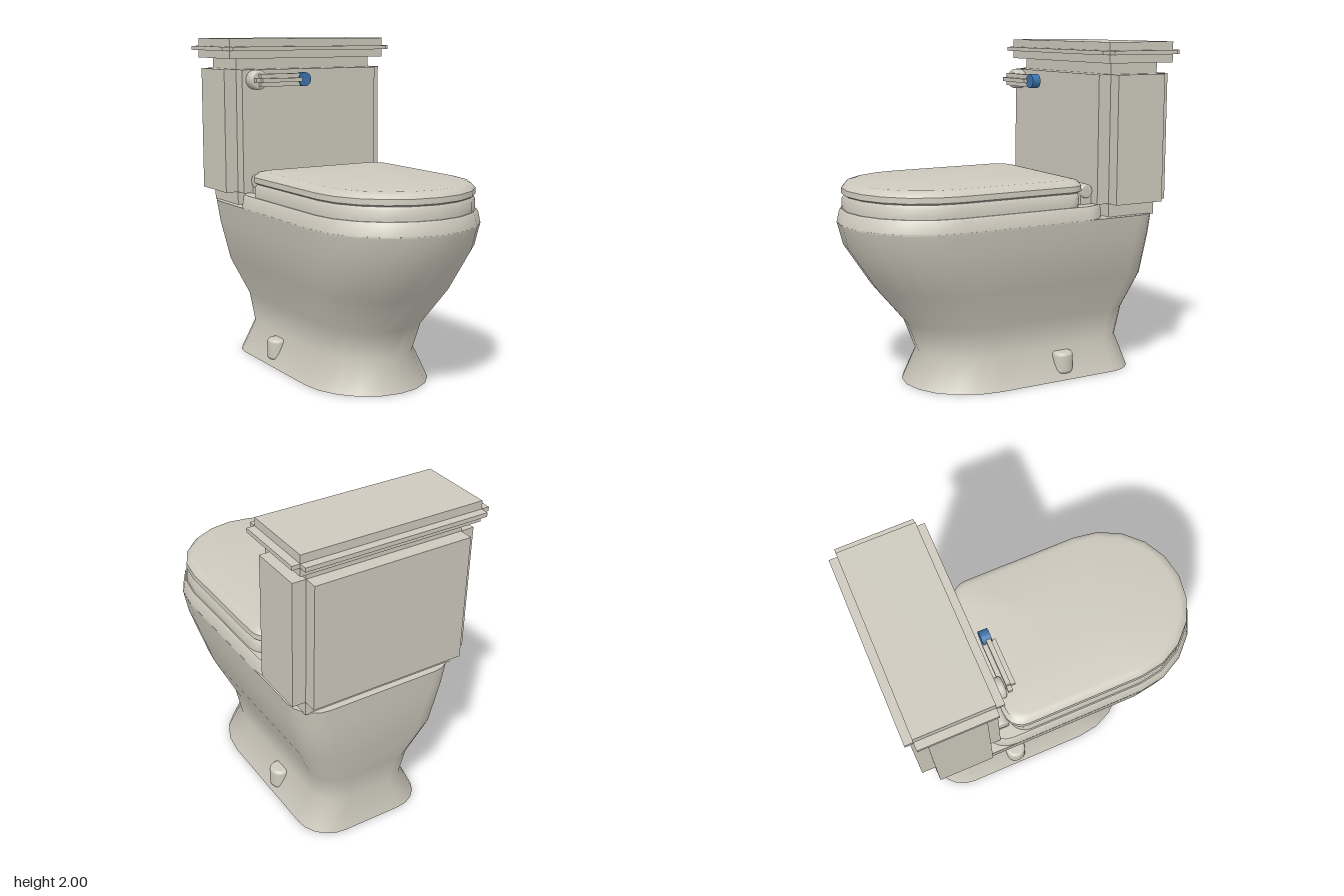
import * as THREE from 'three';
import { toCreasedNormals } from 'three/addons/utils/BufferGeometryUtils.js';

const ceramic = new THREE.MeshStandardMaterial({ name: 'warm grey ceramic', color: 0xcdc9bd });
const blue = new THREE.MeshStandardMaterial({ name: 'blue knob', color: 0x3d74ad });

// Plan outline: half ellipse at the front, straight sides, rounded back corners
function outline(half, front, back, frontLength, backRadius) {
  const points = [];
  for (let i = 0; i <= 10; i++) {
    const a = (i / 10) * Math.PI;
    points.push([half * Math.cos(a), front - frontLength + frontLength * Math.sin(a)]);
  }
  for (const side of [-1, 1]) {
    for (let i = 0; i <= 5; i++) {
      const a = Math.PI + (side > 0 ? Math.PI / 2 : 0) + (i / 5) * Math.PI / 2;
      points.push([
        side * (half - backRadius) + backRadius * Math.cos(a),
        back + backRadius + backRadius * Math.sin(a),
      ]);
    }
  }
  return points;
}

// Capped loft through sections [y, half width, front z, back z, front length, back radius]
function loft(name, sections, crease) {
  const positions = [], index = [];
  const rings = sections.map(([y, ...plan]) => outline(...plan).map(([x, z]) => [x, y, z]));
  const n = rings[0].length;
  rings.forEach((ring) => ring.forEach((p) => positions.push(...p)));
  for (let r = 0; r < rings.length - 1; r++) {
    for (let j = 0; j < n; j++) {
      const k = (j + 1) % n;
      const a = r * n + j, b = r * n + k;
      index.push(a, a + n, b, b, a + n, b + n);
    }
  }
  const bottom = rings.length * n, top = bottom + 1, last = bottom - n;
  for (const s of [sections[0], sections[sections.length - 1]]) {
    positions.push(0, s[0], (s[2] + s[3]) / 2);
  }
  for (let j = 0; j < n; j++) {
    const k = (j + 1) % n;
    index.push(bottom, j, k, top, last + k, last + j);
  }
  const geometry = new THREE.BufferGeometry();
  geometry.setAttribute('position', new THREE.Float32BufferAttribute(positions, 3));
  geometry.setIndex(index);
  const mesh = new THREE.Mesh(toCreasedNormals(geometry, crease), ceramic);
  mesh.name = name;
  return mesh;
}

// Box with notched edges: three crossing boxes, each full length along one axis
function notchedBox(name, min, max, inset) {
  const group = new THREE.Group();
  group.name = name;
  for (let axis = 0; axis < 3; axis++) {
    const lo = min.map((v, i) => (i === axis ? v : v + inset[i]));
    const hi = max.map((v, i) => (i === axis ? v : v - inset[i]));
    const block = new THREE.Mesh(
      new THREE.BoxGeometry(hi[0] - lo[0], hi[1] - lo[1], hi[2] - lo[2]), ceramic);
    block.position.set(...lo.map((v, i) => (v + hi[i]) / 2));
    block.name = name + 'Block';
    group.add(block);
  }
  return group;
}

// Solid of revolution with softened rims, centred on its own axis
function softCylinder(name, radius, length, soft, material = ceramic) {
  const h = length / 2;
  const profile = [new THREE.Vector2(0, -h)];
  for (const [start, cy] of [[-Math.PI / 2, -h + soft], [0, h - soft]]) {
    for (let i = 0; i <= 4; i++) {
      const a = start + (i / 4) * Math.PI / 2;
      profile.push(new THREE.Vector2(radius - soft + soft * Math.cos(a), cy + soft * Math.sin(a)));
    }
  }
  profile.push(new THREE.Vector2(0, h));
  const mesh = new THREE.Mesh(new THREE.LatheGeometry(profile, 24), material);
  mesh.name = name;
  return mesh;
}

export function createModel() {
  const model = new THREE.Group();
  model.name = 'toilet';

  // Pedestal and bowl
  model.add(loft('bowl', [
    [0, 0.39, 0.57, -0.83, 0.43, 0.2],
    [0.19, 0.3, 0.49, -0.778, 0.36, 0.16],
    [0.37, 0.325, 0.56, -0.805, 0.38, 0.16],
    [0.6, 0.43, 0.75, -0.868, 0.44, 0.17],
    [0.85, 0.492, 0.915, -0.878, 0.49, 0.17],
    [0.985, 0.512, 0.95, -0.885, 0.5, 0.17],
  ], 1.0));
  model.add(loft('rim', [
    [0.98, 0.512, 0.95, -0.52, 0.5, 0.16],
    [1.05, 0.5, 0.935, -0.52, 0.49, 0.16],
    [1.062, 0.49, 0.925, -0.51, 0.48, 0.15],
  ], 0.6));

  // Seat ring and closed lid
  model.add(loft('seat', [
    [1.06, 0.483, 0.918, -0.35, 0.475, 0.1],
    [1.12, 0.483, 0.918, -0.355, 0.475, 0.1],
    [1.142, 0.468, 0.905, -0.345, 0.46, 0.1],
  ], 0.9));
  model.add(loft('lid', [
    [1.14, 0.468, 0.905, -0.36, 0.46, 0.1],
    [1.15, 0.482, 0.922, -0.375, 0.475, 0.11],
    [1.182, 0.48, 0.92, -0.375, 0.475, 0.11],
    [1.208, 0.457, 0.895, -0.355, 0.45, 0.1],
    [1.215, 0.43, 0.865, -0.325, 0.42, 0.09],
    [1.222, 0.11, 0.4, 0.05, 0.11, 0.03],
  ], 0.6));

  // Hinges and floor bolt caps on both sides
  for (const side of [-1, 1]) {
    const hinge = softCylinder('hinge', 0.042, 0.16, 0.012);
    hinge.rotation.z = Math.PI / 2;
    hinge.position.set(side * 0.345, 1.14, -0.4);
    const hingeFoot = new THREE.Mesh(new THREE.BoxGeometry(0.14, 0.08, 0.075), ceramic);
    hingeFoot.name = 'hingeFoot';
    hingeFoot.position.set(side * 0.345, 1.09, -0.4);
    const boltCap = softCylinder('boltCap', 0.065, 0.13, 0.022);
    boltCap.position.set(side * 0.325, 0.1, -0.305);
    model.add(hinge, hingeFoot, boltCap);
  }

  // Cistern and its cover
  model.add(notchedBox('tank', [-0.555, 0.98, -0.925], [0.555, 1.9, -0.44], [0.08, 0.085, 0.08]));
  model.add(notchedBox('tankCover', [-0.592, 1.88, -0.953], [0.592, 2, -0.415], [0.047, 0.048, 0.047]));

  // Flush handle
  const handle = new THREE.Group();
  handle.name = 'flushHandle';
  const mount = softCylinder('handleMount', 0.06, 0.08, 0.018);
  mount.rotation.x = Math.PI / 2;
  mount.position.set(-0.395, 1.755, -0.404);
  const lever = notchedBox('lever', [-0.435, 1.716, -0.382], [-0.108, 1.792, -0.304], [0.029, 0.026, 0.026]);
  const knob = new THREE.Mesh(new THREE.CylinderGeometry(0.043, 0.043, 0.053, 20), blue);
  knob.name = 'knob';
  knob.rotation.x = Math.PI / 2;
  knob.position.set(-0.107, 1.755, -0.35);
  handle.add(mount, lever, knob);
  model.add(handle);

  return model;
}
